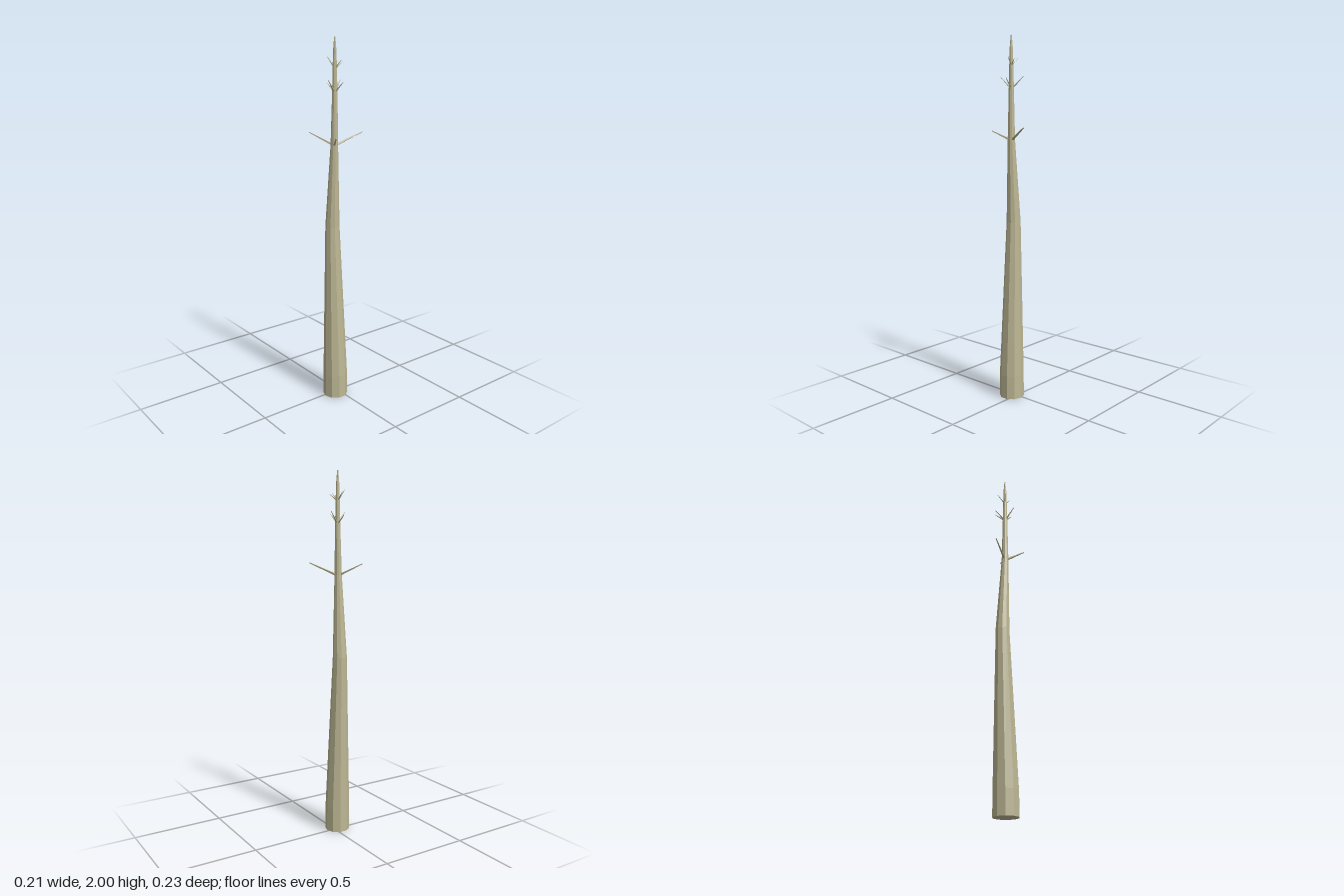
import * as THREE from 'three';

const SIDES = 10;
// Trunk rings: [y, centre x, centre z, radius]
const RINGS = [
  [0, 0.013, 0.027, 0.069],
  [0.13, 0.013, 0.027, 0.068],
  [1.0, -0.007, 0.03, 0.039],
  [1.45, 0.011, 0.03, 0.02],
  [1.72, 0.013, 0.028, 0.014],
  [1.93, 0.013, 0.028, 0.009],
  [2.0, 0.013, 0.028, 0.003],
];

// Branch tiers: shared root height, root and tip radius, tip positions
const TIERS = [
  { y: 1.445, r: 0.008, tip: 0.003, tips: [[-0.103, 1.51, 0.11], [0.102, 1.497, 0.088], [0.073, 1.515, -0.113]] },
  { y: 1.72, r: 0.006, tip: 0.0015, tips: [[-0.053, 1.765, 0.026], [0.068, 1.775, 0.016], [0.036, 1.785, 0.088], [-0.018, 1.785, -0.033]] },
  { y: 1.84, r: 0.005, tip: 0.0012, tips: [[-0.037, 1.885, 0.025], [0.052, 1.885, 0.016], [-0.005, 1.9, 0.062], [0.032, 1.875, -0.01]] },
];

// Centre of the trunk at a given height
function trunkCentre(y) {
  let i = 0;
  while (i < RINGS.length - 2 && RINGS[i + 1][0] < y) i++;
  const a = RINGS[i], b = RINGS[i + 1];
  const t = (y - a[0]) / (b[0] - a[0]);
  return new THREE.Vector3(a[1] + (b[1] - a[1]) * t, y, a[2] + (b[2] - a[2]) * t);
}

// Unit cylinder whose rings are moved onto the trunk sections
function trunkGeometry() {
  const n = RINGS.length - 1;
  const geo = new THREE.CylinderGeometry(1, 1, n, SIDES, n);
  const p = geo.attributes.position;
  for (let i = 0; i < p.count; i++) {
    const [y, cx, cz, r] = RINGS[Math.round(p.getY(i) + n / 2)];
    p.setXYZ(i, cx + p.getX(i) * r, y, cz + p.getZ(i) * r);
  }
  geo.computeVertexNormals();
  return geo;
}

// Tapered twig from the trunk centre line to its tip
function branch(root, tip, r0, r1, material) {
  const dir = tip.clone().sub(root);
  const mesh = new THREE.Mesh(new THREE.CylinderGeometry(r1, r0, dir.length(), 4), material);
  mesh.position.copy(root).addScaledVector(dir, 0.5);
  mesh.quaternion.setFromUnitVectors(new THREE.Vector3(0, 1, 0), dir.normalize());
  mesh.name = 'branch';
  return mesh;
}

export function createModel() {
  const model = new THREE.Group();
  model.name = 'bareTree';
  const wood = new THREE.MeshStandardMaterial({ color: 0xbdb794, flatShading: true });

  const trunk = new THREE.Mesh(trunkGeometry(), wood);
  trunk.name = 'trunk';
  model.add(trunk);

  TIERS.forEach(({ y, r, tip, tips }, i) => {
    const tier = new THREE.Group();
    tier.name = `branchTier${i + 1}`;
    for (const t of tips) tier.add(branch(trunkCentre(y), new THREE.Vector3(...t), r, tip, wood));
    model.add(tier);
  });
  return model;
}
